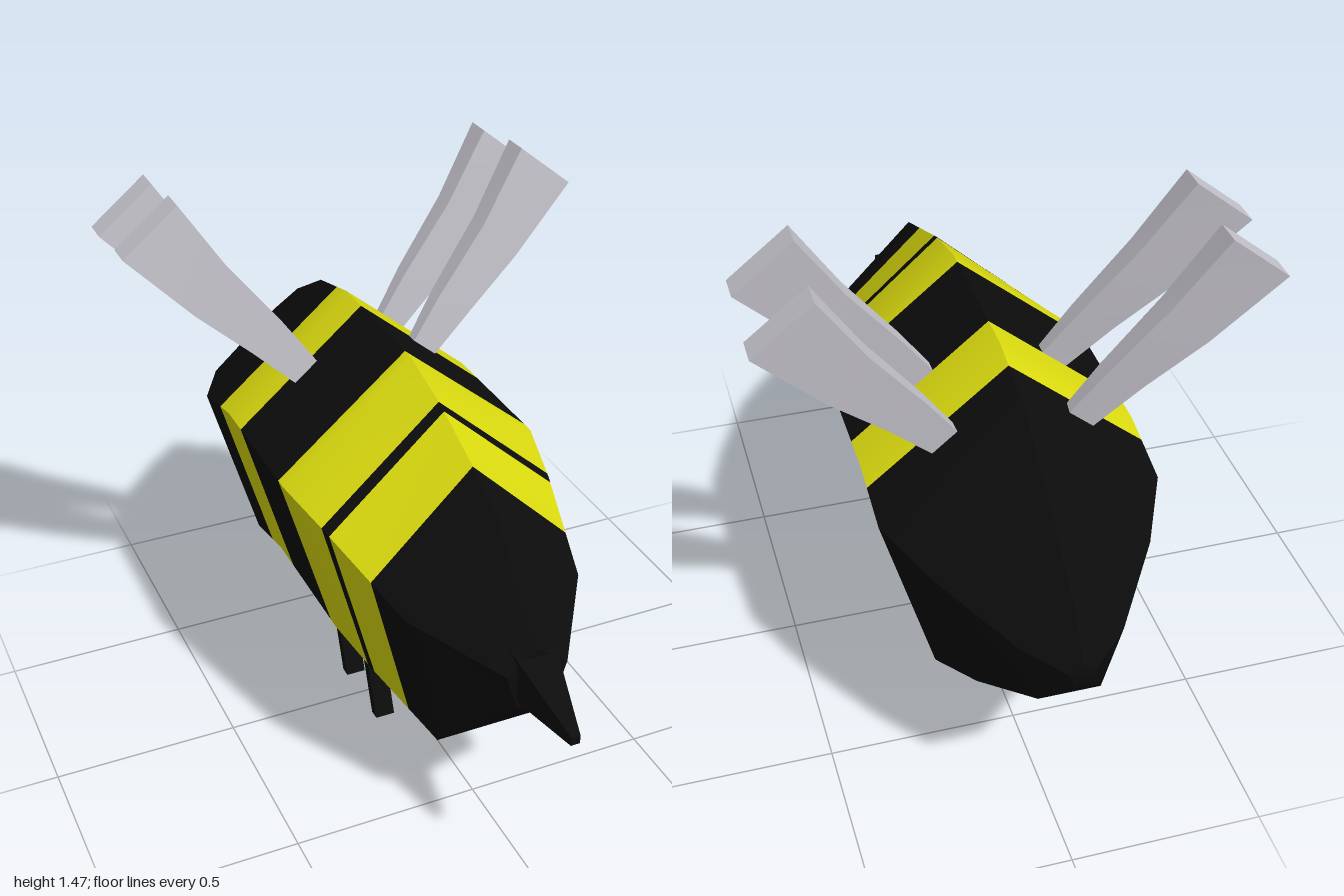
import * as THREE from 'three';
import { toCreasedNormals } from 'three/addons/utils/BufferGeometryUtils.js';

const black = new THREE.MeshStandardMaterial({ color: 0x0c0c0c });
black.name = 'black';
const yellow = new THREE.MeshStandardMaterial({ color: 0xdfdf10 });
yellow.name = 'yellow';
const wingGrey = new THREE.MeshStandardMaterial({ color: 0xc6c4cc });
wingGrey.name = 'wing grey';

// Skin a list of rings (counter-clockwise seen from the far end) and cap both ends.
// materialOf(i) gives the material index of the band between ring i and i + 1.
function loft(rings, materialOf = () => 0) {
  const pos = [];
  const geo = new THREE.BufferGeometry();
  const tri = (...pts) => pts.forEach((p) => pos.push(...p));
  const cap = (r) => {
    for (let k = 1; k < r.length - 1; k++) tri(r[0], r[k], r[k + 1]);
  };
  const group = (material, build) => {
    const start = pos.length / 3;
    build();
    geo.addGroup(start, pos.length / 3 - start, material);
  };
  group(0, () => cap([...rings[0]].reverse()));
  for (let i = 0; i < rings.length - 1; i++) {
    const a = rings[i], b = rings[i + 1], n = a.length;
    group(materialOf(i), () => {
      for (let k = 0; k < n; k++) {
        const m = (k + 1) % n;
        tri(a[k], a[m], b[m]);
        tri(a[k], b[m], b[k]);
      }
    });
  }
  group(0, () => cap(rings[rings.length - 1]));
  geo.setAttribute('position', new THREE.Float32BufferAttribute(pos, 3));
  return toCreasedNormals(geo, 0.7);
}

// Mirror a ring across x = 0, keeping its winding.
const mirrorRing = (ring, side) =>
  side > 0 ? ring : ring.map(([x, y, z]) => [-x, y, z]).reverse();

// Body stations: z, half width, top, bottom
const STATIONS = [
  [-1.0, 0.03, 0.675, 0.61],
  [-0.92, 0.125, 0.79, 0.51],
  [-0.71, 0.265, 0.95, 0.385],
  [-0.52, 0.355, 1.06, 0.29],
  [-0.33, 0.355, 1.108, 0.328],
  [0.09, 0.355, 1.108, 0.328],
  [0.27, 0.315, 1.06, 0.31],
  [0.58, 0.235, 0.93, 0.285],
  [0.81, 0.08, 0.69, 0.53],
];
const STRIPES = [[-0.4, -0.23], [0.055, 0.257], [0.288, 0.45]];

function stationAt(z) {
  const i = Math.max(1, STATIONS.findIndex((s) => s[0] >= z));
  const a = STATIONS[i - 1], b = STATIONS[i];
  const t = (z - a[0]) / (b[0] - a[0]);
  return a.map((v, k) => v + (b[k] - v) * t);
}

// Pentagonal section with its point upwards
function pentagon([z, w, top, bottom]) {
  const ry = (top - bottom) / 1.809, cy = top - ry, rx = w / 0.951;
  return Array.from({ length: 5 }, (_, k) => {
    const a = Math.PI / 2 + (k * 2 * Math.PI) / 5;
    return [Math.cos(a) * rx, cy + Math.sin(a) * ry, z];
  });
}

function makeBody() {
  const zs = [...STATIONS.map((s) => s[0]), ...STRIPES.flat()].sort((a, b) => a - b);
  const inStripe = (i) => {
    const mid = (zs[i] + zs[i + 1]) / 2;
    return STRIPES.some(([a, b]) => mid > a && mid < b) ? 1 : 0;
  };
  return new THREE.Mesh(loft(zs.map((z) => pentagon(stationAt(z))), inStripe), [black, yellow]);
}

// Wing sections: upper edge x, y; lower edge x, y; back z, front z
const WING = [
  [0.14, 0.985, 0.2, 0.93, -0.23, -0.197],
  [0.22, 1.1, 0.32, 1.045, -0.255, -0.208],
  [0.36, 1.28, 0.46, 1.17, -0.288, -0.226],
  [0.48, 1.468, 0.63, 1.347, -0.325, -0.252],
];

function makeWing(side, dy, dz) {
  const rings = WING.map(([ux, uy, lx, ly, zb, zf]) =>
    mirrorRing([
      [ux, uy + dy, zb + dz],
      [ux, uy + dy, zf + dz],
      [lx, ly + dy, zf + dz],
      [lx, ly + dy, zb + dz],
    ], side));
  return new THREE.Mesh(loft(rings), wingGrey);
}

// Slanted square leg, foot towards the front, top inside the body
function makeLeg(side, footZ) {
  const rings = [[0, footZ], [0.36, footZ - 0.135]].map(([y, z]) =>
    mirrorRing([
      [0.062, y, z - 0.015],
      [0.062, y, z + 0.015],
      [0.117, y, z + 0.015],
      [0.117, y, z - 0.015],
    ], side));
  return new THREE.Mesh(loft(rings), black);
}

// Tapered spike with a level underside
function makeStinger() {
  const rings = [[0.78, 0.058, 0.68], [1, 0.012, 0.573]].map(([z, w, top]) => [
    [-w, 0.55, z], [w, 0.55, z], [w, top, z], [-w, top, z],
  ]);
  return new THREE.Mesh(loft(rings), black);
}

export function createModel() {
  const model = new THREE.Group();
  model.name = 'bee';
  const add = (name, mesh) => {
    mesh.name = name;
    model.add(mesh);
  };
  add('body', makeBody());
  add('stinger', makeStinger());
  for (const [side, label] of [[1, 'left'], [-1, 'right']]) {
    add(`${label}FrontWing`, makeWing(side, 0, 0));
    add(`${label}RearWing`, makeWing(side, -0.025, -0.222));
    add(`${label}FrontLeg`, makeLeg(side, 0.11));
    add(`${label}RearLeg`, makeLeg(side, -0.102));
  }
  return model;
}
